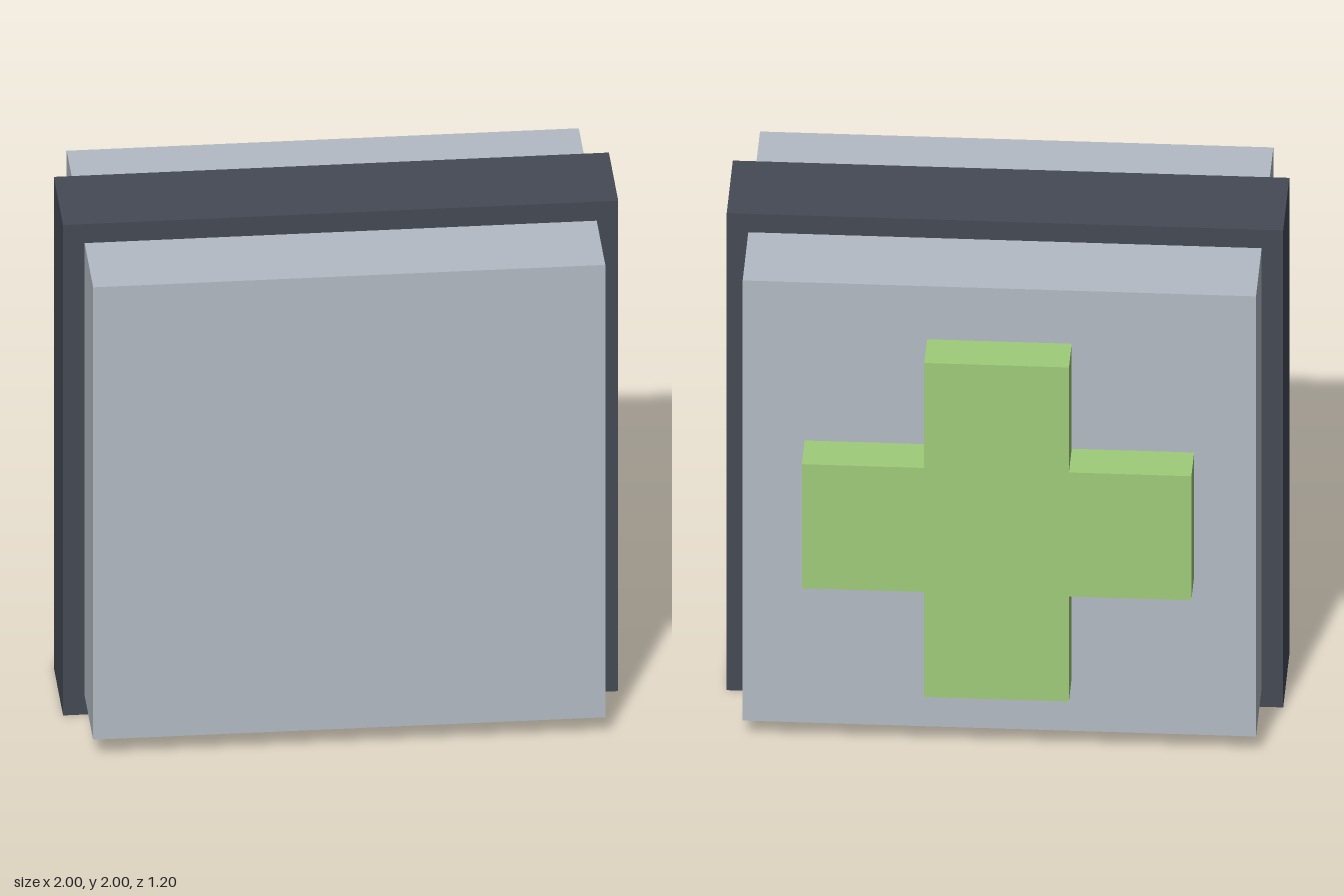
import * as THREE from 'three';

const paint = (name, color) => {
  const m = new THREE.MeshStandardMaterial({ color });
  m.name = name;
  return m;
};

export function createModel() {
  const grey = paint('light grey', 0xb4bbc5);
  const dark = paint('charcoal', 0x454a55);
  const green = paint('green', 0x9fcc7a);

  const group = new THREE.Group();
  group.name = 'medicalCase';
  const add = (name, geometry, material, z) => {
    const mesh = new THREE.Mesh(geometry, material);
    mesh.name = name;
    mesh.position.set(0, 1, z);
    group.add(mesh);
  };

  // Square case with a raised band around its middle
  add('case', new THREE.BoxGeometry(1.845, 1.845, 1.035), grey, 0.0825);
  add('band', new THREE.BoxGeometry(2, 2, 0.365), dark, 0.0825);

  // Raised cross on the back: one arm corner repeated in four quarter turns
  const a = 0.26, r = 0.7;
  const points = [];
  for (let i = 0; i < 4; i++) {
    for (const [x, y] of [[r, -a], [r, a], [a, a]]) {
      points.push(new THREE.Vector2(x, y).rotateAround(new THREE.Vector2(), i * Math.PI / 2));
    }
  }
  const cross = new THREE.ExtrudeGeometry(new THREE.Shape(points), { depth: 0.165, bevelEnabled: false });
  add('cross', cross, green, -0.6);

  return group;
}
